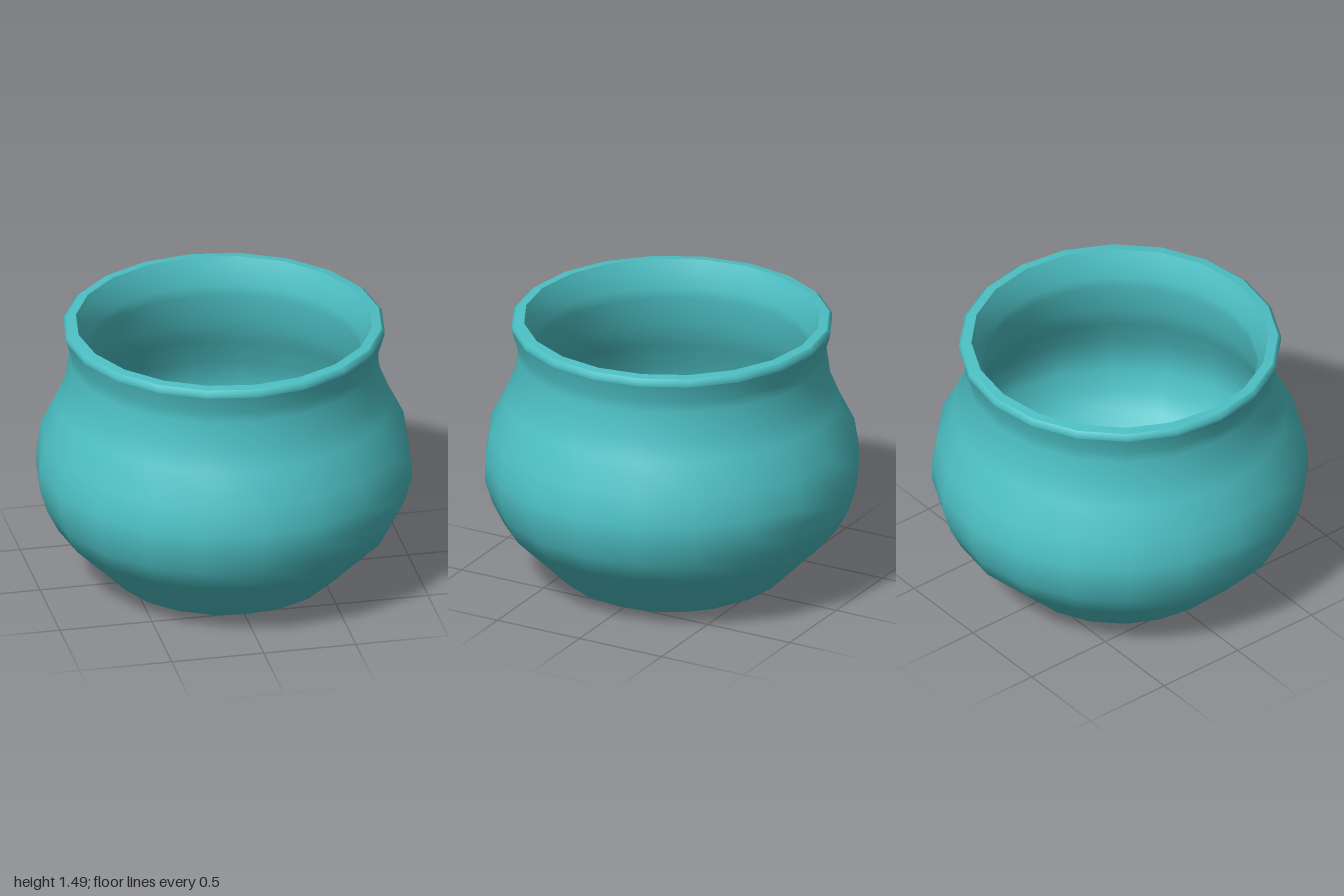
import * as THREE from 'three';

const SIDES = 20;

// Each profile runs up the outside, over the rim and down the inside, as [radius, height]
const PROFILES = {
  outerWall: [
    [0, 0], [0.52, 0], [0.6, 0.04], [0.9, 0.34], [0.96, 0.46], [1, 0.59], [1, 0.69],
    [0.975, 0.85], [0.89, 1.02], [0.845, 1.13], [0.825, 1.28], [0.825, 1.34], [0.855, 1.44],
  ],
  rimEdge: [[0.855, 1.44], [0.857, 1.465], [0.84, 1.48]],
  rimTop: [[0.84, 1.48], [0.79, 1.485]],
  innerWall: [
    [0.79, 1.485], [0.765, 1.43], [0.735, 1.34], [0.735, 1.28], [0.755, 1.12], [0.805, 0.98],
    [0.885, 0.82], [0.91, 0.69], [0.91, 0.6], [0.875, 0.49], [0.825, 0.39], [0.52, 0.08],
  ],
  innerFloor: [[0.52, 0.08], [0, 0.08]],
};

export function createModel() {
  const pot = new THREE.Group();
  pot.name = 'pot';
  const glaze = new THREE.MeshStandardMaterial({ color: 0x4dc0c4 });

  // Separate lathes keep the rim and floor edges sharp
  for (const [name, profile] of Object.entries(PROFILES)) {
    const points = profile.map(([r, y]) => new THREE.Vector2(r, y));
    const mesh = new THREE.Mesh(new THREE.LatheGeometry(points, SIDES), glaze);
    mesh.name = name;
    pot.add(mesh);
  }
  return pot;
}
